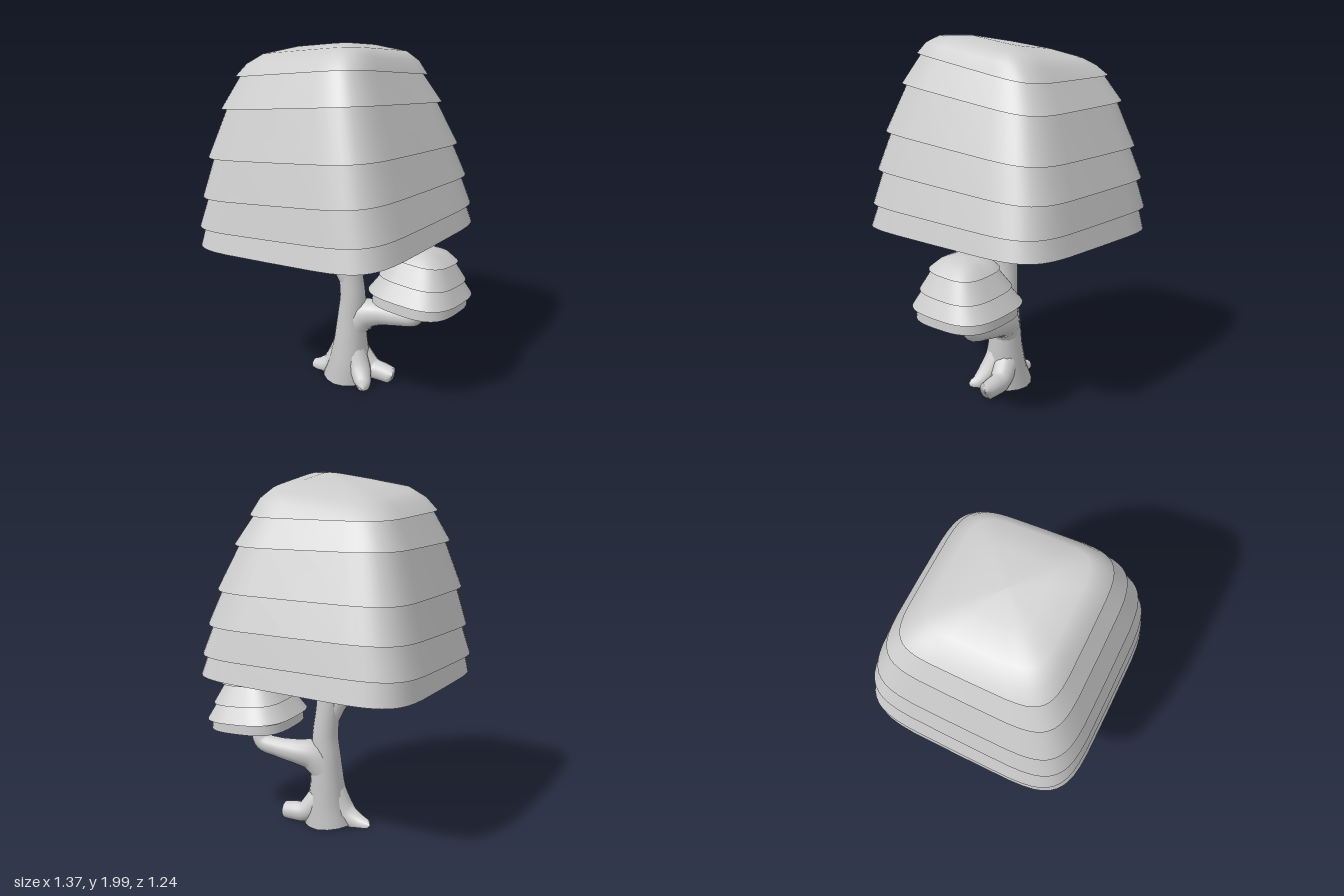
import * as THREE from 'three';

const bark = new THREE.MeshStandardMaterial({ color: 0xcccccc });
const leaf = new THREE.MeshStandardMaterial({ color: 0xcccccc, side: THREE.DoubleSide });
const SEG = 48;

// A tier is a rounded-square ring: x range, z range, then the heights of its
// corners in the order (+x+z), (-x+z), (+x-z), (-x-z).
function ring([x0, x1, z0, z1, pp, mp, pm, mm], power) {
  const soft = (c) => Math.sign(c) * Math.abs(c) ** (2 / power);
  return Array.from({ length: SEG }, (_, i) => {
    const t = (i / SEG) * Math.PI * 2;
    const a = (soft(Math.cos(t)) + 1) / 2;
    const b = (soft(Math.sin(t)) + 1) / 2;
    const y = b * (a * pp + (1 - a) * mp) + (1 - b) * (a * pm + (1 - a) * mm);
    return [x0 + a * (x1 - x0), y, z0 + b * (z1 - z0)];
  });
}

// Skins a list of tiers from the top down
function skin(tiers, power) {
  const index = [];
  for (let r = 0; r < tiers.length - 1; r++) {
    for (let i = 0; i < SEG; i++) {
      const a = r * SEG + i, b = r * SEG + ((i + 1) % SEG);
      index.push(a, b, a + SEG, b, b + SEG, a + SEG);
    }
  }
  const geo = new THREE.BufferGeometry();
  const points = tiers.flatMap((t) => ring(t, power)).flat();
  geo.setAttribute('position', new THREE.Float32BufferAttribute(points, 3));
  geo.setIndex(index);
  geo.computeVertexNormals();
  return geo;
}

// Pulls a tier inwards and lifts it, so the next skirt starts under its edge
function tuck([x0, x1, z0, z1, ...h], inset, lift) {
  return [x0 + inset, x1 - inset, z0 + inset, z1 - inset, ...h.map((y) => y + lift)];
}

// A closed cap, then one open overlapping skirt for each further tier
function canopy(name, cap, skirts, power, inset, lift) {
  const group = new THREE.Group();
  group.name = name;
  const add = (tiers, part) => {
    const mesh = new THREE.Mesh(skin(tiers, power), leaf);
    mesh.name = part;
    group.add(mesh);
  };
  add(cap, 'canopyCap');
  let above = cap[cap.length - 1];
  skirts.forEach((tier, i) => {
    add([tuck(above, inset, lift), tier], 'leafSkirt' + (i + 1));
    above = tier;
  });
  return group;
}

// A tapering limb through points [x, y, z, radius], cut off flat at the ground
function limb(name, pts, segments = 36) {
  const curve = new THREE.CatmullRomCurve3(pts.map((p) => new THREE.Vector3(p[0], p[1], p[2])), false, 'centripetal');
  const radial = 16;
  const geo = new THREE.TubeGeometry(curve, segments, 1, radial);
  const pos = geo.attributes.position;
  const v = new THREE.Vector3();
  for (let i = 0; i <= segments; i++) {
    const u = i / segments;
    const k = curve.getUtoTmapping(u) * (pts.length - 1);
    const k0 = Math.min(Math.floor(k), pts.length - 2);
    const radius = THREE.MathUtils.lerp(pts[k0][3], pts[k0 + 1][3], k - k0);
    const centre = curve.getPointAt(u);
    for (let j = 0; j <= radial; j++) {
      const n = i * (radial + 1) + j;
      v.fromBufferAttribute(pos, n).sub(centre).multiplyScalar(radius).add(centre);
      pos.setXYZ(n, v.x, Math.max(v.y, 0), v.z);
    }
  }
  const mesh = new THREE.Mesh(geo, bark);
  mesh.name = name;
  return mesh;
}

export function createModel() {
  const tree = new THREE.Group();
  tree.name = 'tree';

  // Trunk and branches
  tree.add(
    limb('trunk', [
      [-0.01, 0, -0.02, 0.15], [0, 0.1, -0.02, 0.125], [0.005, 0.25, -0.025, 0.098],
      [0.01, 0.4, -0.03, 0.085], [0.015, 0.52, -0.03, 0.075], [0.0, 0.7, -0.025, 0.068],
      [0.005, 0.85, -0.02, 0.06], [0.01, 1.07, -0.02, 0.055], [0.01, 1.08, -0.02, 0],
    ], 60),
    limb('sideBranch', [
      [0.0, 0.3, -0.03, 0.08], [0.07, 0.4, -0.06, 0.095], [0.16, 0.42, -0.09, 0.072],
      [0.28, 0.43, -0.1, 0.058], [0.39, 0.455, -0.105, 0.052], [0.42, 0.54, -0.1, 0.042],
      [0.43, 0.66, -0.1, 0.038], [0.43, 0.67, -0.1, 0],
    ], 48),
    limb('upperBranch', [
      [0.0, 0.62, -0.02, 0.06], [-0.06, 0.75, 0.01, 0.065], [-0.16, 0.835, 0.05, 0.05],
      [-0.27, 0.88, 0.075, 0.045], [-0.31, 0.95, 0.08, 0.04], [-0.31, 1.04, 0.08, 0.036],
      [-0.31, 1.05, 0.08, 0],
    ], 48),
  );

  // Roots
  tree.add(
    limb('leftRoot', [
      [-0.02, 0.2, -0.02, 0.08], [-0.1, 0.06, -0.01, 0.075], [-0.18, 0.02, 0, 0.05],
      [-0.245, 0.01, 0.0, 0.03], [-0.26, 0.01, 0.0, 0],
    ]),
    limb('rightRoot', [
      [0.03, 0.15, -0.05, 0.08], [0.12, 0.06, -0.08, 0.06], [0.19, 0.05, -0.085, 0.056],
      [0.25, 0.045, -0.085, 0.05], [0.262, 0.045, -0.085, 0],
    ]),
    limb('frontRoot', [
      [0.03, 0.2, -0.01, 0.07], [0.1, 0.08, 0.02, 0.065], [0.15, 0.02, 0.06, 0.045],
      [0.17, 0.01, 0.095, 0.025], [0.175, 0.01, 0.11, 0],
    ]),
  );

  // Large tilted canopy
  tree.add(canopy('mainCanopy', [
    [-0.08, -0.08, 0, 0, 1.955, 1.955, 1.955, 1.955],
    [-0.25, 0.1, -0.17, 0.17, 1.995, 1.945, 1.945, 1.91],
    [-0.39, 0.23, -0.31, 0.31, 2.0, 1.91, 1.905, 1.86],
    [-0.46, 0.285, -0.37, 0.375, 1.965, 1.86, 1.85, 1.82],
    [-0.515, 0.32, -0.42, 0.42, 1.91, 1.79, 1.77, 1.77],
  ], [
    [-0.575, 0.385, -0.49, 0.49, 1.75, 1.62, 1.62, 1.63],
    [-0.635, 0.465, -0.56, 0.56, 1.49, 1.36, 1.39, 1.38],
    [-0.665, 0.51, -0.6, 0.595, 1.28, 1.14, 1.21, 1.2],
    [-0.69, 0.545, -0.615, 0.61, 1.09, 0.97, 1.05, 1.03],
    [-0.68, 0.555, -0.62, 0.62, 0.96, 0.865, 0.94, 0.9],
  ], 5.5, 0.03, 0.02));

  // Small canopy on the side branch
  tree.add(canopy('smallCanopy', [
    [0.435, 0.435, -0.1, -0.1, 0.888, 0.888, 0.888, 0.888],
    [0.365, 0.505, -0.17, -0.03, 0.885, 0.888, 0.875, 0.88],
    [0.31, 0.56, -0.225, 0.02, 0.865, 0.875, 0.85, 0.86],
    [0.275, 0.61, -0.265, 0.06, 0.825, 0.845, 0.8, 0.82],
  ], [
    [0.215, 0.65, -0.315, 0.11, 0.715, 0.74, 0.69, 0.72],
    [0.16, 0.68, -0.36, 0.155, 0.62, 0.645, 0.6, 0.63],
    [0.18, 0.66, -0.34, 0.14, 0.555, 0.58, 0.545, 0.565],
  ], 3, 0.025, 0.015));

  return tree;
}
